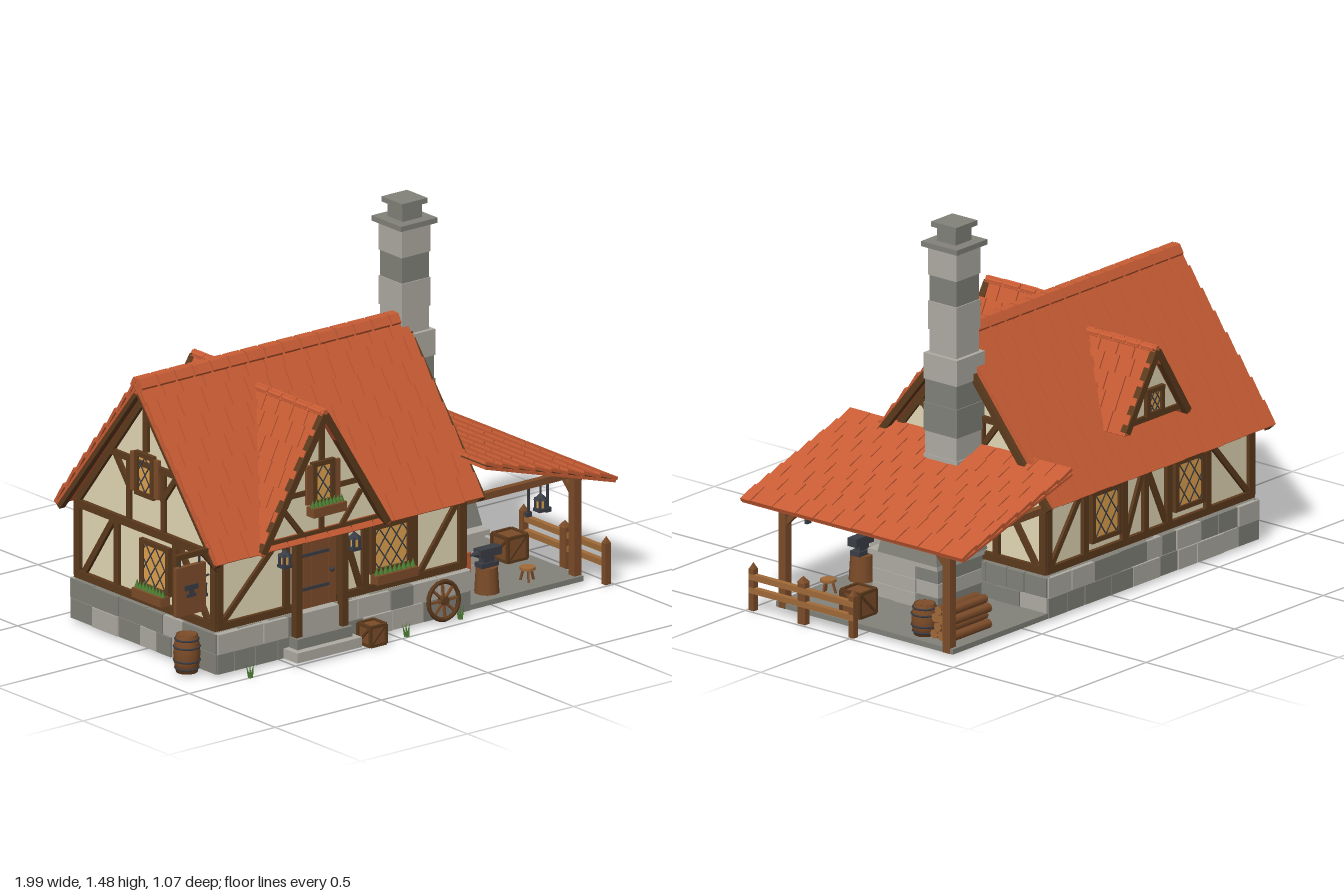
import * as THREE from 'three';
import { mergeGeometries } from 'three/addons/utils/BufferGeometryUtils.js';

const V = (x, y, z) => new THREE.Vector3(x, y, z);
const mat = (name, color) => { const m = new THREE.MeshStandardMaterial({ color }); m.name = name; return m; };

export function createModel() {
  const root = new THREE.Group();
  root.name = 'cottageForge';
  const tile = mat('roof tile', 0xc85c34), plaster = mat('plaster', 0xe4d8b6), timber = mat('timber', 0x5c3a1d),
    wood = mat('wood', 0x7c4c29), paleWood = mat('pale wood', 0xa06a38), stone = mat('light stone', 0xaeaba2),
    stoneDark = mat('dark stone', 0x82827a), iron = mat('iron', 0x3a3d45), amber = mat('amber', 0xe0a24e),
    leaf = mat('leaf', 0x4f8034);

  let seed = 7;
  const rnd = () => (seed = (seed * 16807) % 2147483647) / 2147483647;
  const flat = (g) => { const f = g.index ? g.toNonIndexed() : g; f.computeVertexNormals(); return f; };
  const add = (p, name, geo, m, x = 0, y = 0, z = 0) => {
    const mesh = new THREE.Mesh(geo, m);
    mesh.name = name; mesh.position.set(x, y, z); p.add(mesh);
    return mesh;
  };
  const group = (name, x = 0, y = 0, z = 0, ry = 0, p = root) => {
    const g = new THREE.Group(); g.name = name; g.position.set(x, y, z); g.rotation.y = ry; p.add(g);
    return g;
  };
  // box given by its limits
  const block = (p, name, m, x0, x1, y0, y1, z0, z1) =>
    add(p, name, new THREE.BoxGeometry(x1 - x0, y1 - y0, z1 - z0), m, (x0 + x1) / 2, (y0 + y1) / 2, (z0 + z1) / 2);
  // square bar between two points
  const beam = (p, name, a, b, w = 0.026, m = timber) => {
    const mesh = new THREE.Mesh(new THREE.BoxGeometry(w, w, a.distanceTo(b)), m);
    mesh.name = name; mesh.position.copy(a).lerp(b, 0.5); mesh.lookAt(b); p.add(mesh);
  };
  const prism = (pts, depth) => new THREE.ExtrudeGeometry(
    new THREE.Shape(pts.map(([x, y]) => new THREE.Vector2(x, y))), { depth, bevelEnabled: false });

  // tiled roof plane: top is the middle of its upper edge, u runs along it, d runs down the slope
  const roofPlane = (name, top, u, d, width, length, rows, tileW) => {
    const g = group(name);
    d.normalize();
    g.quaternion.setFromRotationMatrix(new THREE.Matrix4().makeBasis(u, d.clone().cross(u), d));
    g.position.copy(top);
    add(g, 'roofBoard', new THREE.BoxGeometry(width - 0.004, 0.01, length - 0.004), tile, 0, -0.017, length / 2);
    add(g, 'batten', new THREE.BoxGeometry(width - 0.02, 0.004, length - 0.02), timber, 0, -0.01, length / 2);
    const geos = [], h = length / rows;
    for (let r = 0; r < rows; r++) {
      let x = -width / 2, next = x + tileW * (r % 2 ? 0.5 : 1);
      while (x < width / 2 - 0.005) {
        let end = Math.min(next, width / 2);
        if (width / 2 - end < 0.02) end = width / 2;
        const b = new THREE.BoxGeometry(end - x - 0.0045, 0.012, h + 0.004 + rnd() * 0.008);
        b.rotateX(0.1);
        b.translate((x + end) / 2, -0.002, (r + 0.5) * h);
        geos.push(b);
        x = end; next = end + tileW * (0.85 + rnd() * 0.3);
      }
    }
    add(g, 'tiles', mergeGeometries(geos), tile);
  };
  const ridge = (name, a, b, n, r) => {
    const g = group(name), len = a.distanceTo(b) / n;
    for (let i = 0; i < n; i++) {
      const c = add(g, 'ridgeTile', flat(new THREE.CylinderGeometry(r, r, len - 0.01, 6)), tile);
      c.position.copy(a).lerp(b, (i + 0.5) / n);
      c.quaternion.setFromUnitVectors(V(0, 1, 0), b.clone().sub(a).normalize());
    }
  };

  // foundation: core with staggered facing stones
  const base = group('foundation');
  block(base, 'core', stoneDark, -0.8, 0.37, 0.01, 0.165, -0.415, 0.415);
  block(base, 'forgeFloor', stoneDark, 0.37, 0.915, 0.01, 0.03, -0.425, 0.425);
  for (const [x, z, ry, len] of [[-0.215, 0.415, 0, 1.19], [-0.215, -0.415, Math.PI, 1.19],
    [-0.8, 0, -Math.PI / 2, 0.85], [0.37, 0, Math.PI / 2, 0.85]]) {
    const side = group('stoneCourse', x, 0, z, ry, base);
    for (let r = 0; r < 2; r++) for (let s = -len / 2; s < len / 2 - 0.01;) {
      let e = Math.min(s + 0.08 + rnd() * 0.08, len / 2);
      if (len / 2 - e < 0.05) e = len / 2;
      block(side, 'stone', rnd() < 0.5 ? stone : stoneDark, s + 0.002, e - 0.002, 0.012 + r * 0.078, 0.087 + r * 0.078,
        -0.01, 0.012 + rnd() * 0.006);
      s = e;
    }
  }

  // house body and main roof
  const body = prism([[-0.4, 0.16], [0.4, 0.16], [0.4, 0.488], [0, 1.0], [-0.4, 0.488]], 1.15);
  body.rotateY(Math.PI / 2);
  add(root, 'walls', body, plaster, -0.79);
  roofPlane('frontRoof', V(-0.222, 1.045, 0), V(1, 0, 0), V(0, -0.588, 0.478), 1.256, 0.755, 8, 0.1);
  roofPlane('backRoof', V(-0.222, 1.045, 0), V(-1, 0, 0), V(0, -0.588, -0.478), 1.256, 0.755, 8, 0.1);
  ridge('mainRidge', V(-0.85, 1.022, 0), V(0.41, 1.022, 0), 15, 0.036);

  // leaded window facing +z
  const windowUnit = (p, x, y, z, ry, w, h, { flowers = false, shutters = false } = {}) => {
    const g = group('window', x, y, z, ry, p), a = w / 2, b = h / 2;
    add(g, 'glass', new THREE.BoxGeometry(w, h, 0.008), amber, 0, 0, 0.006);
    for (const s of [-1, 1]) {
      beam(g, 'jamb', V(s * a, -b, 0.01), V(s * a, b, 0.01), 0.018);
      beam(g, 'rail', V(-a - 0.01, s * b, 0.01), V(a + 0.01, s * b, 0.01), 0.018);
      if (shutters) block(g, 'shutter', wood, s * (a + 0.022) - 0.014, s * (a + 0.022) + 0.014, -b, b, 0.002, 0.016);
      for (let c = -1.5; c <= 1.5; c += 0.5) {
        const k = 1.4, o = c * h * 0.9;
        const lo = Math.max(-a, (-b - o) / k), hi = Math.min(a, (b - o) / k);
        if (hi - lo > 0.01) beam(g, 'lead', V(s * lo, k * lo + o, 0.011), V(s * hi, k * hi + o, 0.011), 0.004, iron);
      }
    }
    if (!flowers) return;
    const f = a + (shutters ? 0.035 : 0.01);
    block(g, 'flowerBox', wood, -f, f, -b - 0.04, -b - 0.005, 0.01, 0.055);
    for (let i = 0; i < 9; i++)
      add(g, 'plant', new THREE.ConeGeometry(0.012, 0.034, 5), leaf, (f - 0.01) * (i / 4 - 1), -b + 0.006 + rnd() * 0.006, 0.036);
  };

  // long wall timbers
  for (const s of [1, -1]) {
    const g = group(s > 0 ? 'frontTimbers' : 'backTimbers'), z = s * 0.402;
    const posts = s > 0 ? [-0.785, -0.47, -0.22, -0.1, 0.13, 0.355] : [-0.785, -0.54, -0.32, -0.19, -0.07, 0.15, 0.355];
    for (const x of posts) beam(g, 'post', V(x, 0.18, z), V(x, 0.47, z), 0.028);
    for (const y of [0.187, 0.457]) beam(g, 'plate', V(-0.8, y, z), V(0.37, y, z), 0.028);
    const braces = s > 0 ? [[-0.77, -0.53], [0.16, 0.34], [-0.12, -0.2]]
      : [[-0.77, -0.56], [-0.31, -0.2], [-0.08, -0.18], [0.34, 0.17]];
    for (const [a, b] of braces) beam(g, 'brace', V(a, 0.2, z), V(b, 0.44, z), 0.022);
  }
  windowUnit(root, 0.015, 0.335, 0.405, 0, 0.17, 0.17, { flowers: true });
  for (const x of [0.04, -0.43]) windowUnit(root, x, 0.33, -0.405, Math.PI, 0.15, 0.18);

  // gable ends
  for (const s of [-1, 1]) {
    const g = group(s < 0 ? 'rightGable' : 'leftGable'), x = s < 0 ? -0.792 : 0.362, ex = s < 0 ? -0.832 : 0.41;
    for (const y of [0.187, 0.46]) beam(g, 'tie', V(x, y, -0.41), V(x, y, 0.41), 0.03);
    beam(g, 'collar', V(x, 0.71, -0.21), V(x, 0.71, 0.21), 0.024);
    beam(g, 'kingPost', V(x, 0.76, 0), V(x, 0.97, 0));
    for (const t of [-1, 1]) {
      beam(g, 'bargeBoard', V(ex, 1.005, 0), V(ex, 0.44, t * 0.458), 0.026);
      beam(g, 'rafter', V(x, 0.975, 0), V(x, 0.475, t * 0.395));
      beam(g, 'strut', V(x, 0.59, t * 0.09), V(x, 0.72, t * 0.19), 0.022);
      beam(g, 'queenPost', V(x, 0.46, t * 0.1), V(x, 0.71, t * 0.1), 0.022);
      beam(g, 'cornerPost', V(x, 0.18, t * 0.397), V(x, 0.47, t * 0.397), 0.03);
      beam(g, 'post', V(x, 0.18, t * 0.17), V(x, 0.46, t * 0.17));
      beam(g, 'brace', V(x, 0.2, t * 0.36), V(x, 0.45, t * 0.19), 0.024);
    }
  }
  windowUnit(root, -0.793, 0.67, 0, -Math.PI / 2, 0.09, 0.15, { shutters: true });
  windowUnit(root, -0.793, 0.33, 0.06, -Math.PI / 2, 0.15, 0.17, { flowers: true });

  // dormers: s is the side of the house, hw half width, y0 foot, y1 ridge
  const dormer = (name, cx, s, hw, y0, y1, zEdge, zBack, wallZ, rows) => {
    const g = group(name, cx, 0, 0, s > 0 ? 0 : Math.PI);
    add(g, 'gableWall', prism([[-hw + 0.02, y0 + 0.015], [hw - 0.02, y0 + 0.015], [0, y1 - 0.04]], wallZ - zBack), plaster, 0, 0, zBack);
    const len = Math.hypot(hw, y1 - y0), w = zEdge - zBack, zm = s * (zEdge + zBack) / 2;
    for (const t of [-1, 1]) {
      roofPlane(name + 'Roof', V(cx, y1, zm), V(0, 0, -t), V(t * hw, y0 - y1, 0), w, len, rows, 0.08);
      beam(g, 'bargeBoard', V(0, y1 - 0.014, zEdge - 0.011), V(t * (hw - 0.012), y0, zEdge - 0.011), 0.028);
    }
    ridge(name + 'Ridge', V(cx, y1 - 0.012, s * (zEdge - 0.01)), V(cx, y1 - 0.012, s * zBack), 5, 0.018);
    beam(g, 'sill', V(-hw + 0.03, y0 + 0.022, wallZ), V(hw - 0.03, y0 + 0.022, wallZ), 0.022);
    return g;
  };
  const porch = dormer('frontDormer', -0.345, 1, 0.305, 0.455, 0.945, 0.485, 0.08, 0.455, 7);
  beam(porch, 'kingPost', V(0, 0.74, 0.455), V(0, 0.91, 0.455), 0.022);
  beam(porch, 'lowerPost', V(0, 0.48, 0.455), V(0, 0.56, 0.455), 0.02);
  beam(porch, 'collar', V(-0.17, 0.64, 0.452), V(0.17, 0.64, 0.452), 0.02);
  for (const t of [-1, 1]) {
    beam(porch, 'strut', V(t * 0.09, 0.48, 0.455), V(t * 0.185, 0.6, 0.455), 0.02);
    beam(porch, 'porchPost', V(t * 0.108, 0.09, 0.45), V(t * 0.108, 0.47, 0.45), 0.028);
  }
  windowUnit(porch, 0, 0.67, 0.457, 0, 0.085, 0.15, { flowers: true, shutters: true });
  const back = dormer('backDormer', -0.215, -1, 0.185, 0.62, 0.91, 0.45, 0.11, 0.42, 5);
  windowUnit(back, 0, 0.7, 0.422, 0, 0.08, 0.09);

  // door and steps
  const door = group('door', -0.345, 0, 0.41);
  for (let i = 0; i < 5; i++) block(door, 'plank', wood, -0.095 + i * 0.038, -0.059 + i * 0.038, 0.18, 0.44, 0, 0.018);
  for (const y of [0.25, 0.38]) block(door, 'strap', iron, -0.09, 0.06, y, y + 0.012, 0.018, 0.022);
  add(door, 'handle', new THREE.SphereGeometry(0.01, 8, 6), iron, 0.07, 0.31, 0.024);
  block(root, 'lowerStep', stone, -0.5, -0.195, 0.012, 0.05, 0.42, 0.51);
  block(root, 'middleStep', stoneDark, -0.475, -0.215, 0.05, 0.09, 0.42, 0.48);
  block(root, 'doorStep', stone, -0.43, -0.26, 0.09, 0.175, 0.41, 0.455);

  // chimney, hood and hearth
  const forge = group('forgeChimney', 0.437, 0, -0.025);
  [0.42, 0.5, 0.58, 0.67, 0.78, 0.87, 0.97, 1.06, 1.17, 1.27, 1.38].forEach((y, i, ys) => {
    if (i === 10) return;
    const r = (i < 6 ? 0.076 : 0.064) + (i % 2) * 0.004;
    block(forge, 'chimneyStone', [1, 2, 5, 6, 7, 9].includes(i) ? stone : stoneDark, -r, r, y, ys[i + 1], -r, r);
  });
  for (const [r, a, b] of [[0.086, 1.38, 1.4], [0.045, 1.4, 1.455], [0.06, 1.455, 1.475]])
    block(forge, 'chimneyCap', stoneDark, -r, r, a, b, -r, r);
  const hood = new THREE.CylinderGeometry(0.098 * Math.SQRT2, 0.143 * Math.SQRT2, 0.225, 4);
  hood.rotateY(Math.PI / 4);
  add(root, 'hood', flat(hood), stoneDark, 0.51, 0.325, 0.018);
  for (let r = 0; r < 3; r++) for (let i = 0; i < 3; i++)
    block(root, 'hearthStone', i === 0 && r !== 1 ? stoneDark : stone, 0.37, 0.63 + (i % 2) * 0.006, 0.03 + r * 0.054, 0.082 + r * 0.054,
      -0.11 + i * 0.105, -0.007 + i * 0.105);
  block(root, 'hearthSlab', stone, 0.37, 0.645, 0.192, 0.212, -0.12, 0.215);
  block(root, 'hearthOpening', tile, 0.44, 0.56, 0.06, 0.14, 0.2, 0.209);

  // lean-to
  roofPlane('leanToRoof', V(0.37, 0.605, 0), V(0, 0, -1), V(0.625, -0.182, 0), 1.07, 0.642, 8, 0.1);
  for (const s of [-1, 1]) {
    const z = s * 0.395;
    beam(root, 'leanToPost', V(0.9, 0.01, z), V(0.9, 0.43, z), 0.034, wood);
    beam(root, 'leanToTie', V(0.37, 0.425, z), V(0.91, 0.425, z), 0.026, wood);
    beam(root, 'leanToBrace', V(0.9, 0.33, z), V(0.9, 0.41, z - s * 0.08), 0.02, wood);
  }
  beam(root, 'leanToBeam', V(0.9, 0.413, -0.42), V(0.9, 0.413, 0.42), 0.026, wood);

  // fence
  for (const z of [0.48, 0.24, 0]) {
    const w = z === 0.24 ? 0.018 : 0.012;
    block(root, 'fencePost', wood, 0.965, 0.99, 0, 0.16, z - w, z + w);
    const tip = new THREE.ConeGeometry(w * Math.SQRT2, 0.025, 4);
    tip.rotateY(Math.PI / 4);
    add(root, 'fenceTip', flat(tip), wood, 0.9775, 0.1725, z);
  }
  for (const y of [0.078, 0.13]) block(root, 'fenceRail', paleWood, 0.97, 0.992, y - 0.011, y + 0.011, -0.01, 0.49);

  // barrels, crates, logs
  const barrel = (x, y, z, h, r) => {
    const g = group('barrel', x, y, z);
    add(g, 'staves', new THREE.LatheGeometry([[0, 0], [0.8, 0], [0.94, 0.25], [1, 0.5], [0.94, 0.75], [0.8, 1], [0.74, 1], [0.74, 0.96], [0, 0.96]]
      .map(([a, b]) => new THREE.Vector2(a * r, b * h)), 14), wood);
    for (const t of [0.12, 0.32, 0.68, 0.88]) {
      const hoop = add(g, 'hoop', new THREE.TorusGeometry(r * (t > 0.2 && t < 0.8 ? 0.965 : 0.87), 0.004, 5, 16), iron, 0, h * t, 0);
      hoop.rotation.x = Math.PI / 2;
    }
  };
  barrel(-0.866, 0.01, 0.32, 0.145, 0.05);
  barrel(0.845, 0.03, -0.23, 0.12, 0.05);
  const crate = (x, y, z, s) => {
    const g = group('crate', x, y + s / 2, z), h = s / 2 - 0.005;
    add(g, 'panel', new THREE.BoxGeometry(s - 0.012, s - 0.012, s - 0.012), wood);
    for (const a of [-h, h]) for (const b of [-h, h]) {
      beam(g, 'edge', V(a, b, -h), V(a, b, h), 0.011);
      beam(g, 'edge', V(a, -h, b), V(a, h, b), 0.011);
      beam(g, 'edge', V(-h, a, b), V(h, a, b), 0.011);
    }
    for (const b of [-h, h]) {
      beam(g, 'diagonal', V(-h, -h, b), V(h, h, b), 0.009);
      beam(g, 'diagonal', V(b, -h, -h), V(b, h, h), 0.009);
    }
  };
  crate(-0.12, 0, 0.475, 0.082);
  crate(0.83, 0.03, 0.1, 0.1);
  for (let r = 0; r < 4; r++) for (let i = 0; i < 3 - (r % 2); i++) {
    const log = add(root, 'log', new THREE.CylinderGeometry(0.018, 0.018, 0.21 + rnd() * 0.02, 8), [wood, paleWood, paleWood],
      0.755, 0.048 + r * 0.031, -0.365 + i * 0.036 + (r % 2) * 0.018);
    log.rotation.z = Math.PI / 2;
  }

  // anvil on a stump, stool
  const anvil = group('anvil', 0.525, 0.03, 0.345);
  add(anvil, 'stump', new THREE.CylinderGeometry(0.042, 0.048, 0.1, 10), wood, 0, 0.05, 0);
  block(anvil, 'foot', iron, -0.04, 0.04, 0.1, 0.118, -0.022, 0.022);
  block(anvil, 'waist', iron, -0.025, 0.025, 0.118, 0.14, -0.014, 0.014);
  block(anvil, 'face', iron, -0.045, 0.055, 0.14, 0.172, -0.021, 0.021);
  add(anvil, 'horn', new THREE.ConeGeometry(0.014, 0.045, 8), iron, -0.065, 0.156, 0).rotation.z = Math.PI / 2;
  const stool = group('stool', 0.72, 0.03, 0.34);
  add(stool, 'seat', new THREE.CylinderGeometry(0.03, 0.03, 0.01, 10), paleWood, 0, 0.05, 0);
  for (let i = 0; i < 3; i++) {
    const a = (i * Math.PI * 2) / 3;
    beam(stool, 'leg', V(0.028 * Math.cos(a), 0, 0.028 * Math.sin(a)), V(0.016 * Math.cos(a), 0.047, 0.016 * Math.sin(a)), 0.008, wood);
  }

  // lanterns and hanging tools
  for (const [x, y, z] of [[-0.51, 0.37, 0.45], [-0.183, 0.37, 0.45], [-0.835, 0.305, 0.36], [0.737, 0.31, 0.395]]) {
    const g = group('lantern', x, y, z);
    block(g, 'lamp', amber, -0.011, 0.011, 0.006, 0.05, -0.011, 0.011);
    for (const a of [-0.013, 0.013]) for (const b of [-0.013, 0.013]) beam(g, 'bar', V(a, 0, b), V(a, 0.052, b), 0.009, iron);
    block(g, 'foot', iron, -0.02, 0.02, 0, 0.012, -0.02, 0.02);
    add(g, 'cap', flat(new THREE.ConeGeometry(0.028, 0.026, 6)), iron, 0, 0.058, 0);
    if (x < 0.5) beam(g, 'hook', V(0, 0.068, 0), x < -0.8 ? V(0.04, 0.075, 0) : V(0, 0.075, -0.045), 0.006, iron);
    else beam(g, 'hook', V(0, 0.068, 0), V(0, 0.11, 0), 0.006, iron);
  }
  for (const x of [0.68, 0.77]) {
    beam(root, 'toolHandle', V(x, 0.3, 0.395), V(x, 0.415, 0.395), 0.008, iron);
    block(root, 'toolHead', iron, x - 0.012, x + 0.012, 0.3, 0.318, 0.388, 0.402);
  }

  // hanging sign with a plain anvil shape
  const sign = group('hangingSign', -0.928, 0, 0.413);
  beam(sign, 'arm', V(-0.07, 0.498, 0), V(0.135, 0.498, 0), 0.02);
  beam(sign, 'armBrace', V(0.13, 0.41, 0), V(0.06, 0.49, 0), 0.015);
  for (const x of [-0.045, 0.045]) beam(sign, 'hanger', V(x, 0.45, 0), V(x, 0.49, 0), 0.006, iron);
  block(sign, 'board', wood, -0.069, 0.069, 0.27, 0.458, -0.01, 0.01);
  for (const [w, a, b] of [[0.032, 0.365, 0.385], [0.012, 0.35, 0.365], [0.022, 0.338, 0.35]])
    block(sign, 'emblem', iron, -w, w, a, b, -0.013, 0.013);

  // cart wheel leaning on the front wall
  const wheel = group('cartWheel', 0.235, 0.085, 0.452);
  wheel.rotation.x = -0.12;
  add(wheel, 'rim', new THREE.TorusGeometry(0.071, 0.009, 6, 20), timber);
  add(wheel, 'hub', new THREE.CylinderGeometry(0.017, 0.017, 0.03, 10), timber).rotation.x = Math.PI / 2;
  for (let i = 0; i < 8; i++) {
    const a = (i * Math.PI) / 4;
    beam(wheel, 'spoke', V(0, 0, 0), V(0.07 * Math.cos(a), 0.07 * Math.sin(a), 0), 0.009, wood);
  }

  // grass tufts
  for (const [x, z] of [[-0.71, 0.495], [0.03, 0.488], [0.31, 0.455]]) for (let i = 0; i < 5; i++) {
    const blade = add(root, 'grass', new THREE.ConeGeometry(0.006, 0.055, 4), leaf, x + (i - 2) * 0.006, 0.0275, z + (i % 2) * 0.008);
    blade.rotation.z = (2 - i) * 0.14;
  }
  return root;
}
